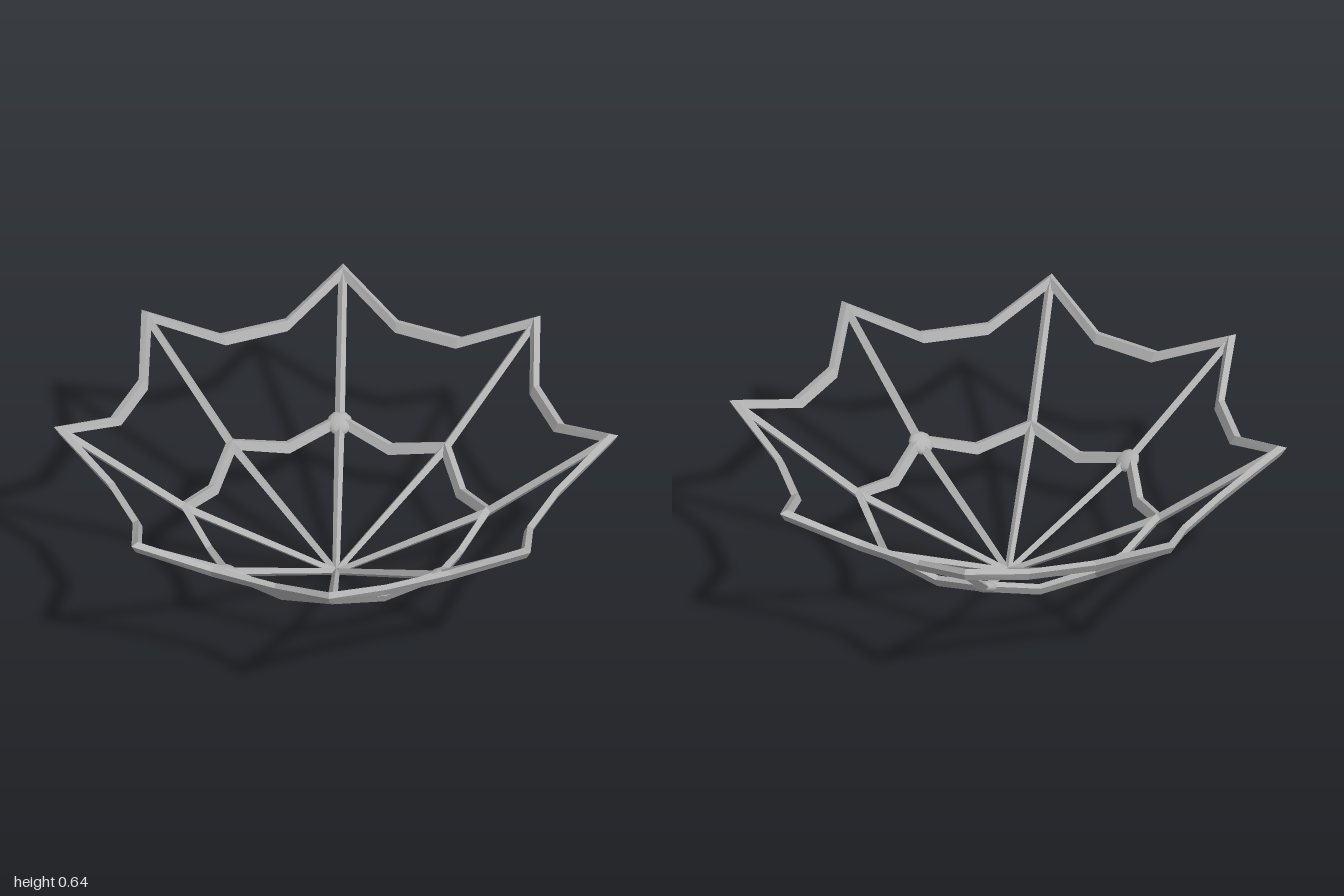
import * as THREE from 'three';

const SPOKES = 8, STEP = Math.PI * 2 / SPOKES;

// Joins four-cornered sections into a faceted bar, either closed in a ring or capped
function loft(sections, closed) {
  const pos = [];
  const tri = (...pts) => pts.forEach(p => pos.push(p.x, p.y, p.z));
  const count = sections.length;
  for (let s = 0; s < (closed ? count : count - 1); s++) {
    const a = sections[s], b = sections[(s + 1) % count];
    for (let i = 0; i < 4; i++) {
      const j = (i + 1) % 4;
      tri(a[i], a[j], b[j]);
      tri(a[i], b[j], b[i]);
    }
  }
  if (!closed) {
    const a = sections[0], b = sections[count - 1];
    tri(a[0], a[3], a[2]); tri(a[0], a[2], a[1]);
    tri(b[0], b[1], b[2]); tri(b[0], b[2], b[3]);
  }
  const geo = new THREE.BufferGeometry();
  geo.setAttribute('position', new THREE.Float32BufferAttribute(pos, 3));
  geo.computeVertexNormals();
  return geo;
}

// Point on the bowl: angle from the front, radius, height
const polar = (angle, r, y) => new THREE.Vector3(Math.sin(angle) * r, y, Math.cos(angle) * r);

// Ring of tall bars leaning outward; nodes repeat per spoke as [angle, radius, height, mitre]
function ring(nodes) {
  const tall = [0.0075, 0.0172], thick = [-0.0113, 0.0029];
  const sections = [];
  for (let k = 0; k < SPOKES; k++) {
    for (const [angle, r, y, mitre] of nodes) {
      sections.push([[1, 1], [1, -1], [-1, -1], [-1, 1]].map(([u, n]) =>
        polar(k * STEP + angle,
          r + mitre * (u * tall[0] + n * thick[0]),
          y + u * tall[1] + n * thick[1])));
    }
  }
  return loft(sections, true);
}

// Diamond-section rib from the base to the rim, bent where it crosses the inner ring
function rib() {
  const stations = [[0, 0.012, 0.45, 0.013], [0.53, 0.28, 0.55, 0.018], [0.972, 0.613, 0.645, 0.016]];
  return loft(stations.map(([r, y, slope, h]) =>
    [[1, 0], [0, 1], [-1, 0], [0, -1]].map(([t, n]) =>
      new THREE.Vector3(t * h, y + n * h * Math.cos(slope), r - n * h * Math.sin(slope)))), false);
}

export function createModel() {
  const model = new THREE.Group();
  model.name = 'webBowl';
  const grey = new THREE.MeshStandardMaterial({ color: 0xb2b2b2 });
  grey.name = 'grey';

  const add = (name, geo, parent = model) => {
    const mesh = new THREE.Mesh(geo, grey);
    mesh.name = name;
    parent.add(mesh);
    return mesh;
  };

  // Rim with eight points and scalloped sides
  const dip = 0.2435;
  add('outerRing', ring([
    [0, 0.974, 0.616, 1.39],
    [dip, 0.809, 0.515, 1.05],
    [STEP - dip, 0.809, 0.515, 1.05],
  ]));

  // Smaller ring halfway down
  add('innerRing', ring([
    [0, 0.535, 0.286, 1.13],
    [STEP / 2, 0.475, 0.231, 1],
  ]));

  // Ribs
  const ribs = new THREE.Group();
  ribs.name = 'ribs';
  model.add(ribs);
  const ribGeo = rib();
  for (let k = 0; k < SPOKES; k++) add('rib', ribGeo, ribs).rotation.y = k * STEP;

  // Swollen joints on three of the inner crossings
  const jointGeo = new THREE.SphereGeometry(1, 12, 8);
  jointGeo.scale(0.046, 0.022, 0.046);
  jointGeo.rotateX(-0.6);
  for (const k of [0, 3, 6]) {
    const angle = k * STEP;
    const joint = add('joint', jointGeo);
    joint.position.copy(polar(angle, 0.524, 0.279));
    joint.rotation.y = angle;
  }
  return model;
}
